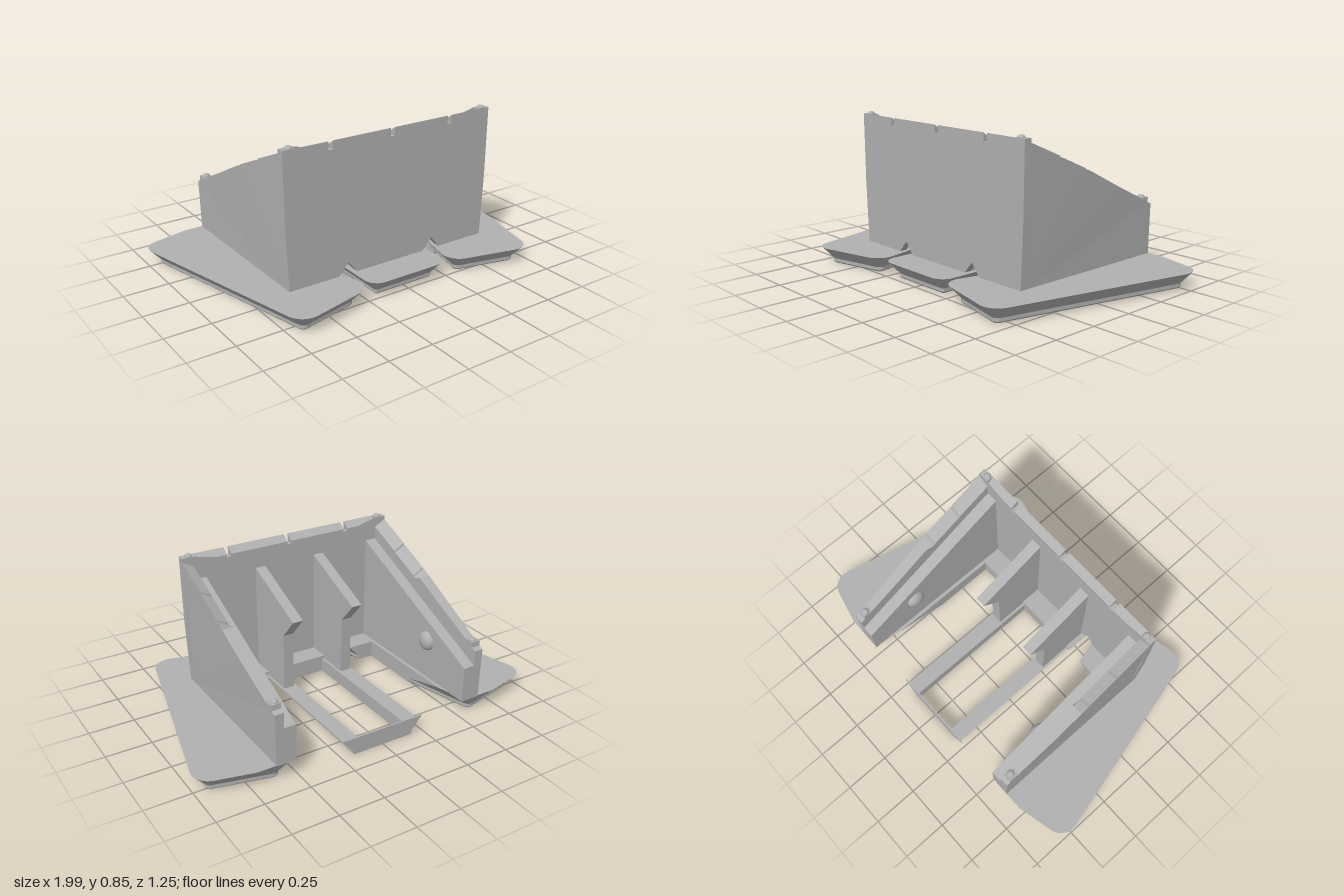
import * as THREE from 'three';
import { ConvexGeometry } from 'three/addons/geometries/ConvexGeometry.js';

const grey = new THREE.MeshStandardMaterial({ color: 0xb0b0b0 });
grey.name = 'plain grey';

// Rounded rectangle as [x, z] points, turned about the origin by an angle
function roundedRect(u0, u1, v0, v1, r, angle) {
  const c = Math.cos(angle), s = Math.sin(angle), pts = [];
  const centres = [[u1 - r, v1 - r], [u0 + r, v1 - r], [u0 + r, v0 + r], [u1 - r, v0 + r]];
  centres.forEach(([cu, cv], k) => {
    for (let i = 0; i <= 6; i++) {
      const t = (k + i / 6) * Math.PI / 2;
      const u = cu + r * Math.cos(t), v = cv + r * Math.sin(t);
      pts.push([u * c + v * s, u * s - v * c]);
    }
  });
  return pts;
}

// Keep the part of a polygon where a*x + b*z >= d
function clip(poly, [a, b, d]) {
  const out = [], f = p => a * p[0] + b * p[1] - d;
  poly.forEach((p, i) => {
    const q = poly[(i + 1) % poly.length], fp = f(p), fq = f(q);
    if (fp >= 0) out.push(p);
    if (fp * fq < 0) {
      const t = fp / (fp - fq);
      out.push([p[0] + (q[0] - p[0]) * t, p[1] + (q[1] - p[1]) * t]);
    }
  });
  return out;
}

// Tapered sole: a narrow straight lower band, then a flare up to the rim
function sole(outline, cuts, top) {
  const rim = 0.063 * (0.095 - top) / 0.069;
  const bands = [[[0, 0.07], [0.008, 0.063], [0.026, 0.063]], [[0.026, 0.063], [top, rim]]];
  return bands.map(levels => {
    const pts = [];
    for (const [y, inset] of levels) {
      for (const [x, z] of cuts.reduce(clip, outline(inset))) pts.push(new THREE.Vector3(x, y, z));
    }
    return new ConvexGeometry(pts);
  });
}

const sideOutline = d => roundedRect(0.368 + d, 0.856 - d, -0.453 + d, 0.785 - d, 0.095 - d, 0.238);
const middleOutline = d => roundedRect(-0.245 + d, 0.245 - d, -0.525 + d, 1, 0.075 - d, 0);

// Slab with a [z, y] outline, running from x0 to x1
function slab(points, x0, x1) {
  const shape = new THREE.Shape(points.map(([z, y]) => new THREE.Vector2(-z, y)));
  const g = new THREE.ExtrudeGeometry(shape, { depth: x1 - x0, bevelEnabled: false });
  return g.rotateY(Math.PI / 2).translate(x0, 0, 0);
}

// Move each vertex by a rule
function reshape(geometry, rule) {
  const p = geometry.attributes.position, v = new THREE.Vector3();
  for (let i = 0; i < p.count; i++) {
    rule(v.fromBufferAttribute(p, i));
    p.setXYZ(i, v.x, v.y, v.z);
  }
  geometry.computeVertexNormals();
  return geometry;
}

// Mirrored copy across x = 0 with the corner order put right
function mirrored(geometry) {
  const g = geometry.index ? geometry.toNonIndexed() : geometry.clone();
  g.scale(-1, 1, 1);
  for (const attribute of Object.values(g.attributes)) {
    const n = attribute.itemSize, a = attribute.array;
    for (let i = 0; i < a.length; i += 3 * n) {
      for (let k = 0; k < n; k++) [a[i + n + k], a[i + 2 * n + k]] = [a[i + 2 * n + k], a[i + n + k]];
    }
  }
  return g;
}

export function createModel() {
  const model = new THREE.Group();
  model.name = 'stand';
  const add = (name, geometry) => {
    const mesh = new THREE.Mesh(geometry, grey);
    mesh.name = name;
    model.add(mesh);
  };
  const pair = (name, geometry) => {
    add(name + 'Left', geometry);
    add(name + 'Right', mirrored(geometry));
  };

  // Splayed side feet, cut away inside and at the back
  for (const cuts of [[[0, 1, 0.185]], [[1, 0, 0.49], [0, -1, -0.185], [0, 1, -0.632]]]) {
    sole(sideOutline, cuts, 0.095).forEach(g => pair('sideFoot', g));
  }

  // Middle foot with an open frame of two rails and a thin back bar
  sole(middleOutline, [[0, 1, 0.185]], 0.095).forEach(g => add('middleFoot', g));
  sole(middleOutline, [[1, 0, 0.14], [0, -1, -0.185], [0, 1, -0.632]], 0.075).forEach(g => pair('rail', g));
  sole(middleOutline, [[0, -1, 0.624], [0, 1, -0.632]], 0.095).forEach(g => add('backBar', g));

  // Front wall: slots in the top edge, V cuts at the bottom, bevelled inside
  const front = new THREE.Shape();
  front.moveTo(-0.62, 0.09);
  for (const x of [-0.27, 0.27]) {
    front.lineTo(x - 0.06, 0.09);
    front.lineTo(x, 0.16);
    front.lineTo(x + 0.06, 0.09);
  }
  front.lineTo(0.62, 0.09);
  front.lineTo(0.635, 0.45);
  front.lineTo(0.64, 0.83);
  front.lineTo(0.575, 0.83);
  front.lineTo(0.574, 0.83);
  for (const x of [0.37, 0, -0.37]) {
    front.lineTo(x + 0.013, 0.83);
    front.lineTo(x + 0.013, 0.785);
    front.lineTo(x - 0.013, 0.785);
    front.lineTo(x - 0.013, 0.83);
  }
  front.lineTo(-0.574, 0.83);
  front.lineTo(-0.575, 0.83);
  front.lineTo(-0.64, 0.83);
  front.lineTo(-0.635, 0.45);
  const frontWall = new THREE.ExtrudeGeometry(front, { depth: 0.042, bevelEnabled: false });
  frontWall.translate(0, 0, 0.303);
  add('frontWall', reshape(frontWall, v => {
    if (v.z < 0.32 && v.y > 0.8 && Math.abs(v.x) < 0.5745) v.y -= 0.03;
  }));

  // Side walls with a sloping stepped top, leaning slightly outward
  const wall = slab([
    [0.32, 0.09], [0.32, 0.83], [0.308, 0.83], [0.307, 0.81], [0.105, 0.724], [0.104, 0.714],
    [0.09, 0.714], [-0.08, 0.64], [-0.081, 0.632], [-0.095, 0.632], [-0.139, 0.612], [-0.14, 0.611],
    [-0.33, 0.517], [-0.55, 0.415], [-0.605, 0.415], [-0.606, 0.386], [-0.632, 0.375], [-0.632, 0.09],
  ], 0.575, 0.62);
  pair('sideWall', reshape(wall, v => {
    if (v.x > 0.6) v.x += 0.02 * Math.min(1, Math.max(0, (v.y - 0.09) / 0.55)) * (v.z < -0.5 ? 0.5 : 1);
    else if (v.z > -0.1395 && v.z < 0.3075 && v.y > 0.2) v.y -= 0.035;
  }));

  // Lower inner slabs and their round bumps
  pair('innerSlab', slab([[0.31, 0.09], [0.31, 0.705], [-0.632, 0.29], [-0.632, 0.09]], 0.51, 0.585));
  for (const s of [1, -1]) {
    const bump = new THREE.SphereGeometry(1, 24, 16);
    add('bump', bump.scale(0.036, 0.055, 0.055).translate(s * 0.511, 0.315, -0.31));
  }

  // Middle ribs with an undercut back nose
  pair('rib', slab([
    [0.31, 0.09], [0.31, 0.69], [-0.1, 0.52], [0.005, 0.4], [0.005, 0.07], [0.19, 0.07],
  ], 0.155, 0.215));

  // Small locating pegs on the wall tops
  for (const s of [1, -1]) {
    for (const [y, z] of [[0.83, 0.325], [0.415, -0.58]]) {
      const peg = new THREE.SphereGeometry(0.02, 16, 8, 0, Math.PI * 2, 0, Math.PI / 2);
      add('peg', peg.scale(1, 0.75, 1).translate(s * 0.597, y, z));
    }
  }
  return model;
}
